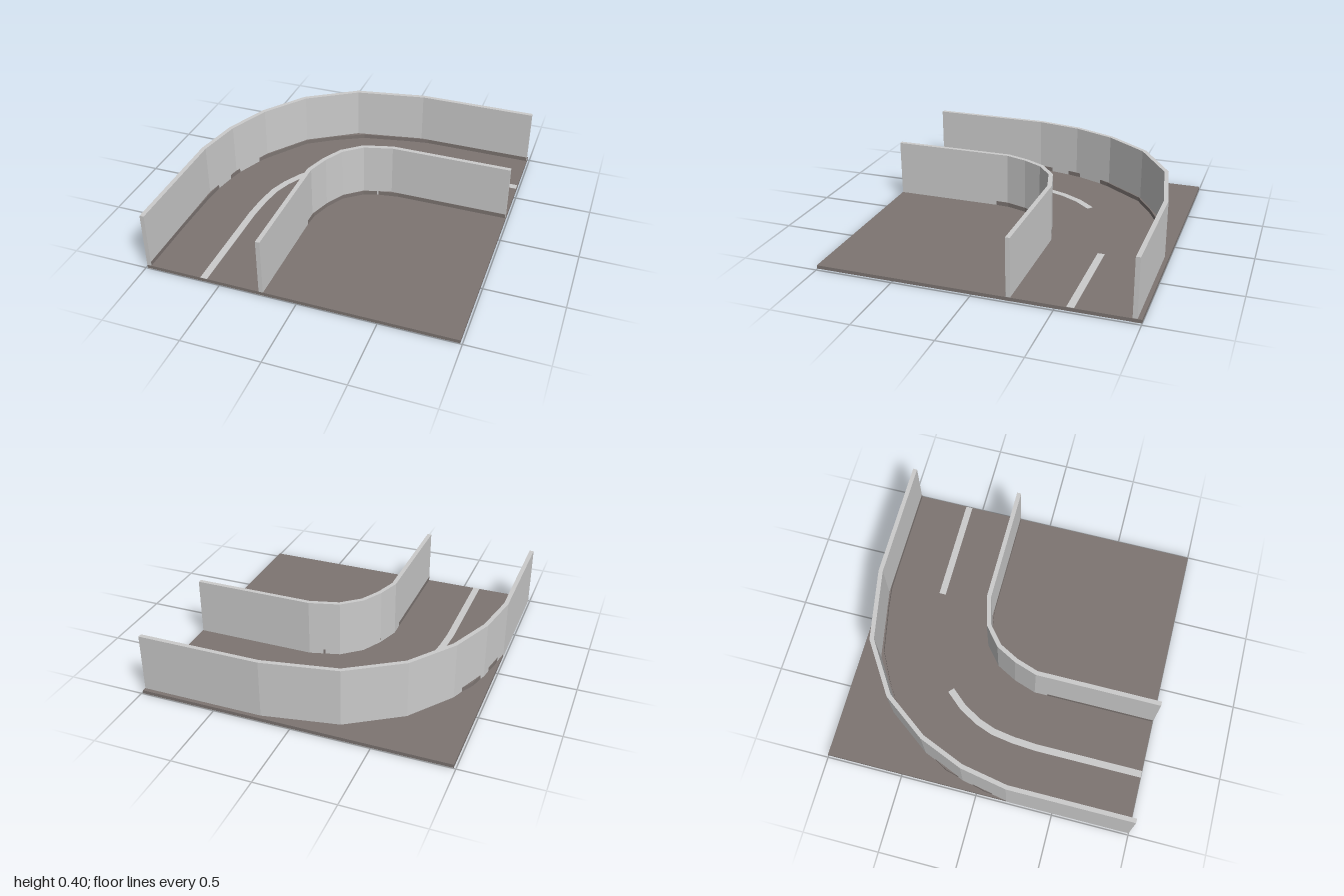
import * as THREE from 'three';

const grey = new THREE.MeshStandardMaterial({ color: 0xcccccc, flatShading: true });
const asphalt = new THREE.MeshStandardMaterial({ color: 0x7d7572, flatShading: true });

// Mitred band of constant width along a plan path of [x, z] points, from y0 up to y1
function band(name, path, width, y0, y1, material) {
  const pts = path.map(([x, z]) => new THREE.Vector2(x, -z));
  const normal = (a, b) => new THREE.Vector2(a.y - b.y, b.x - a.x).normalize();
  const left = [], right = [];
  pts.forEach((p, i) => {
    const n0 = normal(pts[Math.max(i - 1, 0)], pts[Math.max(i, 1)]);
    const n1 = i < pts.length - 1 ? normal(p, pts[i + 1]) : n0;
    const miter = n0.clone().add(n1).normalize();
    miter.multiplyScalar(width / 2 / miter.dot(n0));
    left.push(p.clone().add(miter));
    right.unshift(p.clone().sub(miter));
  });
  const geometry = new THREE.ExtrudeGeometry(new THREE.Shape([...left, ...right]), {
    depth: y1 - y0, bevelEnabled: false,
  });
  geometry.rotateX(-Math.PI / 2).translate(0, y0, 0);
  const mesh = new THREE.Mesh(geometry, material);
  mesh.name = name;
  return mesh;
}

export function createModel() {
  const group = new THREE.Group();
  group.name = 'curvedRoadTile';

  // Ground slab
  const slab = new THREE.Mesh(new THREE.BoxGeometry(1.975, 0.022, 2), asphalt);
  slab.position.y = 0.015;
  slab.name = 'roadSlab';
  group.add(slab);

  // Tall walls along both sides of the bend
  const outer = [[-0.974, 1], [-0.974, 0.2], [-0.918, -0.1], [-0.803, -0.38],
    [-0.6, -0.658], [-0.27, -0.873], [0.2, -0.96], [0.985, -0.96]];
  const inner = [[-0.226, 1], [-0.226, 0.2], [-0.178, 0.055], [-0.108, -0.075],
    [0.012, -0.175], [0.2, -0.226], [0.985, -0.226]];
  group.add(band('outerWall', outer, 0.028, 0, 0.4, grey));
  group.add(band('innerWall', inner, 0.028, 0, 0.4, grey));

  // Low kerbs that weave slightly in and out of the wall feet
  const outerKerb = [[-0.973, 0.998], [-0.973, 0.6], [-0.966, 0.25], [-0.952, 0.05], [-0.882, -0.22],
    [-0.797, -0.37], [-0.6, -0.645], [-0.42, -0.765], [-0.22, -0.87], [0.1, -0.935],
    [0.25, -0.958], [0.984, -0.958]];
  const innerKerb = [[-0.227, 0.998], [-0.227, 0.3], [-0.22, 0.19], [-0.178, 0.055],
    [-0.108, -0.073], [0.012, -0.17], [0.11, -0.202], [0.25, -0.224], [0.984, -0.224]];
  group.add(band('outerKerb', outerKerb, 0.028, 0.02, 0.055, asphalt));
  group.add(band('innerKerb', innerKerb, 0.028, 0.02, 0.055, asphalt));

  // Painted lane dashes
  const curve = [[-0.603, 1], [-0.603, 0.3], [-0.592, 0.14], [-0.57, 0],
    [-0.53, -0.11], [-0.46, -0.235], [-0.365, -0.345]];
  group.add(band('curvedLaneLine', curve, 0.045, 0.024, 0.028, grey));
  group.add(band('straightLaneLine', [[0.29, -0.593], [0.985, -0.593]], 0.045, 0.024, 0.028, grey));
  return group;
}
